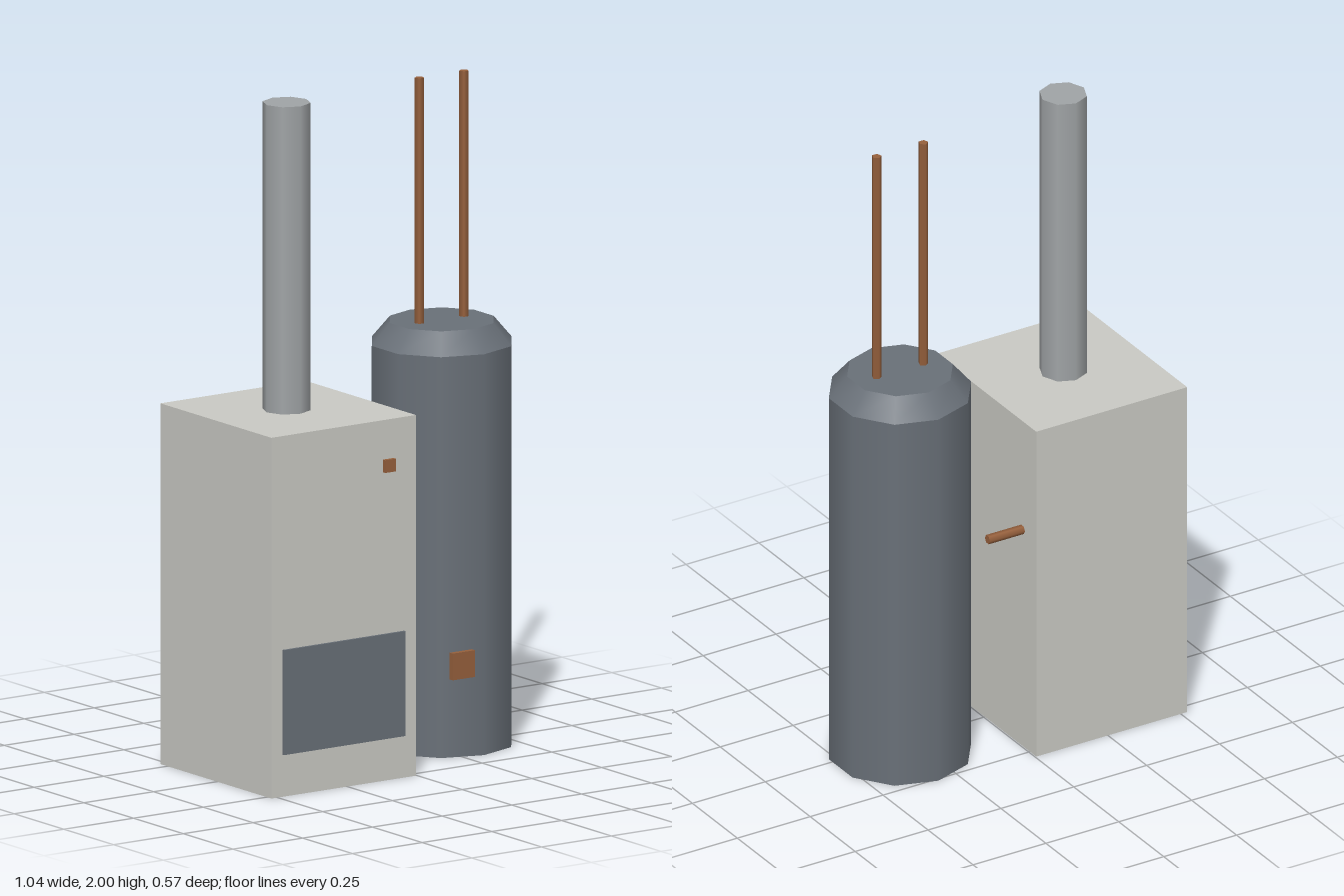
import * as THREE from 'three';

const material = (name, color) => {
  const m = new THREE.MeshStandardMaterial({ color });
  m.name = name;
  return m;
};

export function createModel() {
  const group = new THREE.Group();
  const casing = material('pale casing', 0xcacac4);
  const steel = material('dark steel', 0x697078);
  const flueMetal = material('flue metal', 0xa0a4a6);
  const copper = material('copper', 0x96603c);

  const add = (name, geometry, mat) => {
    const mesh = new THREE.Mesh(geometry, mat);
    mesh.name = name;
    group.add(mesh);
    return mesh;
  };
  // Box given by its limits on each axis
  const box = (name, mat, [x0, x1], [y0, y1], [z0, z1]) =>
    add(name, new THREE.BoxGeometry(x1 - x0, y1 - y0, z1 - z0), mat)
      .position.set((x0 + x1) / 2, (y0 + y1) / 2, (z0 + z1) / 2);
  // Upright cylinder or cone section from y0 to y1
  const column = (name, mat, x, z, y0, y1, rBottom, rTop, sides, open = false) => {
    const mesh = add(name, new THREE.CylinderGeometry(rTop, rBottom, y1 - y0, sides, 1, open), mat);
    mesh.position.set(x, (y0 + y1) / 2, z);
    return mesh;
  };

  // Boiler cabinet with access panel and control knob
  box('boilerCabinet', casing, [-0.522, -0.004], [0, 1.08], [-0.285, 0.273]);
  box('accessPanel', steel, [-0.482, -0.046], [0.126, 0.44], [0.273, 0.281]);
  box('controlKnob', copper, [-0.122, -0.084], [0.924, 0.962], [0.273, 0.285]);

  // Flue
  column('fluePipe', flueMetal, -0.268, -0.007, 1.08, 2, 0.071, 0.071, 8);

  // Water tank: body and tapered shoulder
  const tankX = 0.316, tankZ = -0.046;
  column('tankBody', steel, tankX, tankZ, 0, 1.2, 0.214, 0.214, 10);
  column('tankShoulder', steel, tankX, tankZ, 1.2, 1.265, 0.214, 0.159, 10);

  // Water pipes rising from the tank
  for (const side of [-1, 1]) {
    column(side < 0 ? 'rightWaterPipe' : 'leftWaterPipe', copper,
      tankX + side * 0.08, tankZ, 1.26, 2, 0.0145, 0.0145, 5).rotation.y = Math.PI;
  }

  // Pipe between cabinet and tank
  const link = add('connectingPipe', new THREE.CylinderGeometry(0.0143, 0.0143, 0.122, 6), copper);
  link.rotation.z = Math.PI / 2;
  link.position.set(0.055, 0.72, -0.208);

  // Drain valve
  box('drainValve', copper, [0.197, 0.276], [0.241, 0.321], [0.161, 0.177]);

  return group;
}
